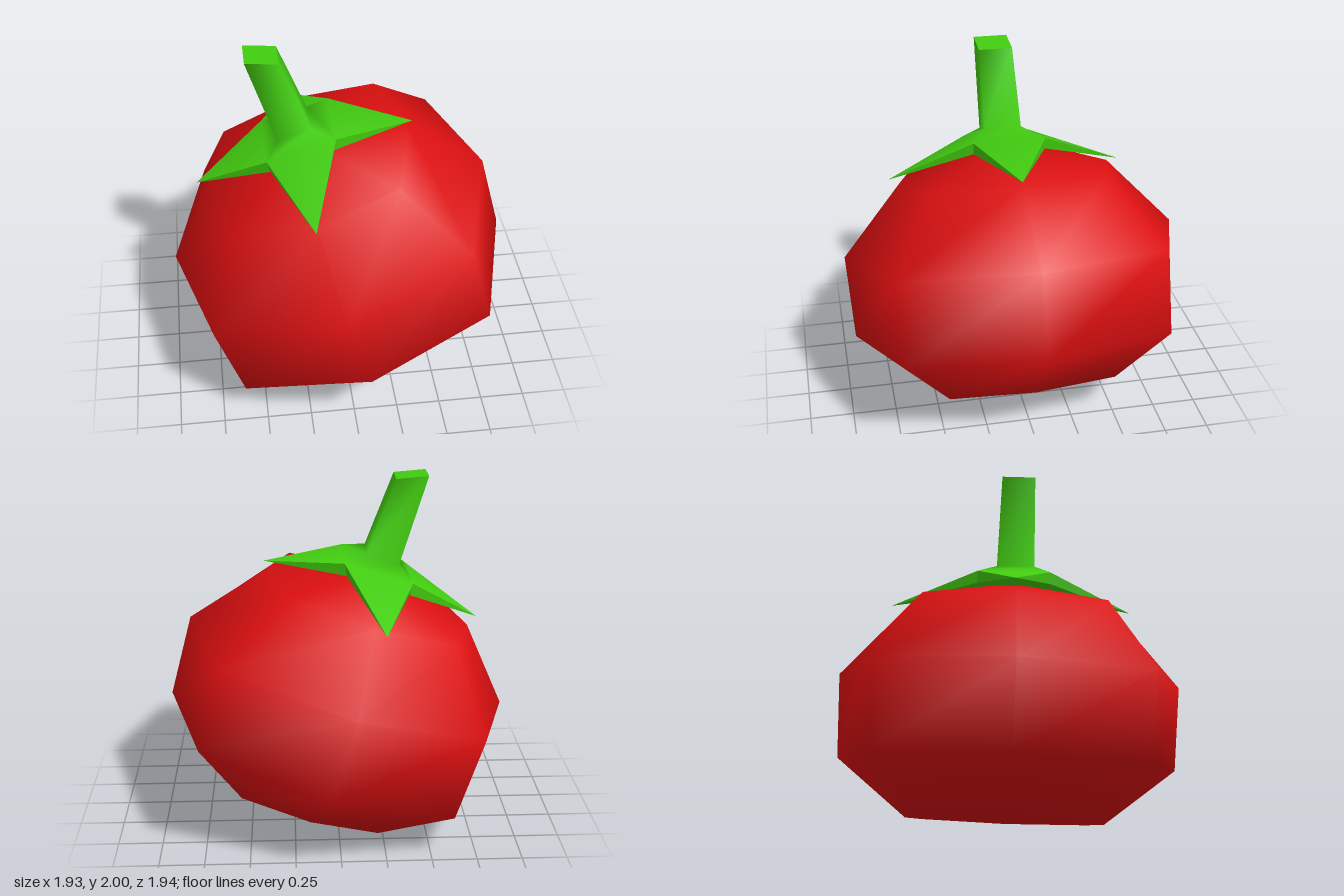
import * as THREE from 'three';

const red = new THREE.MeshStandardMaterial({ color: 0xdc0f10 });
red.name = 'tomatoRed';
const green = new THREE.MeshStandardMaterial({ color: 0x42cc10 });
green.name = 'leafGreen';

function indexed(points, index) {
  const g = new THREE.BufferGeometry();
  g.setAttribute('position', new THREE.Float32BufferAttribute(points.flat(), 3));
  g.setIndex(index);
  g.computeVertexNormals();
  return g;
}

function mesh(name, geometry, material) {
  const m = new THREE.Mesh(geometry, material);
  m.name = name;
  return m;
}

// Joins two rings of n points, counterclockwise seen from above, lower to upper
function joinRings(index, a, b, n) {
  for (let i = 0; i < n; i++) {
    const j = (i + 1) % n;
    index.push(a + i, a + j, b + j, a + i, b + j, b + i);
  }
}

// Squarish eight-sided fruit with a point at each pole
function fruitGeometry() {
  // height, side reach x, side reach z, corner x, corner z
  const rings = [
    [0.09, 0.48, 0.56, 0.40, 0.48],
    [0.41, 0.927, 0.957, 0.72, 0.735],
    [0.886, 0.944, 0.972, 0.735, 0.74],
    [1.287, 0.60, 0.61, 0.47, 0.50],
  ];
  const points = [], index = [];
  for (const [y, sx, sz, cx, cz] of rings) {
    for (let i = 0; i < 8; i++) {
      const a = (i * Math.PI) / 4;
      const x = Math.round(Math.cos(a)), z = -Math.round(Math.sin(a));
      points.push(i % 2 ? [x * cx, y, z * cz] : [x * sx, y, z * sz]);
    }
  }
  for (let r = 0; r < rings.length - 1; r++) joinRings(index, r * 8, r * 8 + 8, 8);
  const bottom = points.push([0, 0.075, 0]) - 1;
  const top = points.push([0, 1.455, 0]) - 1;
  for (let i = 0; i < 8; i++) {
    const j = (i + 1) % 8;
    index.push(bottom, j, i, top, 24 + i, 24 + j);
  }
  return indexed(points, index);
}

// Four corners from the heights and x of the right and left sides
const square = (xr, yr, xl, yl, zb, zf) => [
  [xr, yr, zb], [xl, yl, zb], [xl, yl, zf], [xr, yr, zf],
];

export function createModel() {
  const model = new THREE.Group();
  model.name = 'tomato';

  // Fruit leaning over to one side
  const fruit = mesh('fruit', fruitGeometry(), red);
  fruit.position.set(0.191, 0.058, -0.02);
  fruit.rotation.set(0.026, 0, 0.297);
  model.add(fruit);

  // Notches of the leaf star, above and below, and its tips: back, right, front, left
  const upper = square(-0.04, 1.545, -0.42, 1.425, -0.195, 0.215);
  const lower = square(-0.05, 1.475, -0.40, 1.36, -0.195, 0.215);
  const tips = [[-0.24, 1.285, -0.68], [-0.81, 1.165, 0], [-0.2, 1.287, 0.69], [0.41, 1.505, 0.025]];

  // Leaf tops flowing smoothly into the stem
  const stemBase = square(-0.17, 1.57, -0.35, 1.5, -0.08, 0.13);
  const stemTop = square(-0.33, 1.985, -0.51, 2.0, -0.06, 0.13);
  const index = [];
  joinRings(index, 0, 4, 4);
  joinRings(index, 4, 8, 4);
  for (let k = 0; k < 4; k++) index.push(k, 12 + k, (k + 1) % 4);
  model.add(mesh('stemAndLeaves', indexed([...upper, ...stemBase, ...stemTop, ...tips], index), green));

  // Flat cut at the end of the stem
  model.add(mesh('stemCut', indexed(stemTop, [0, 1, 2, 0, 2, 3]), green));

  // Edges and undersides of the leaves
  const under = [];
  for (let k = 0; k < 4; k++) {
    const n = (k + 1) % 4;
    under.push(upper[k], lower[k], tips[k]);
    under.push(tips[k], lower[n], upper[n]);
    under.push(lower[n], tips[k], lower[k]);
  }
  under.push(lower[0], lower[3], lower[2], lower[0], lower[2], lower[1]);
  model.add(mesh('leafUndersides', indexed(under, under.map((_, i) => i)), green));

  return model;
}
